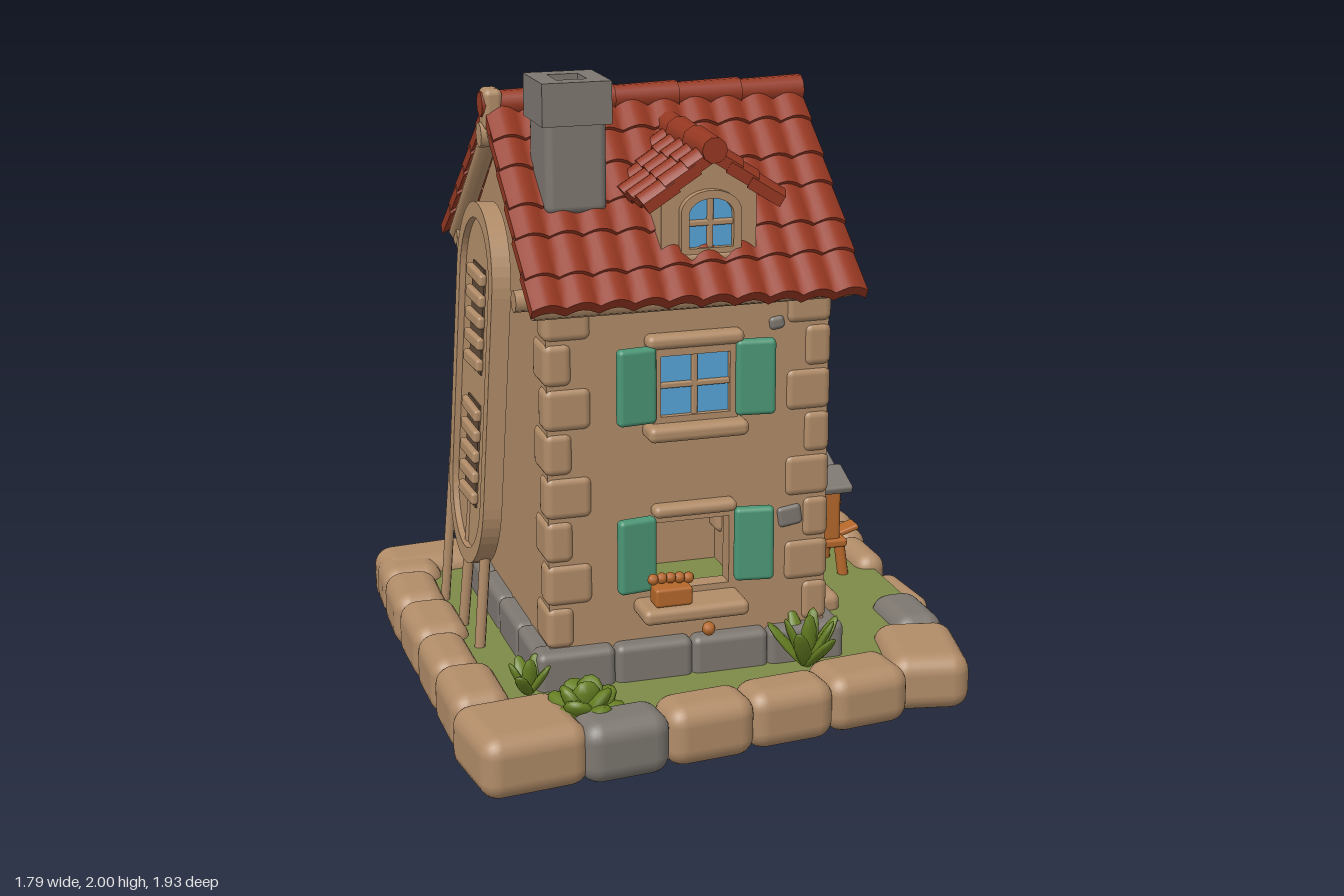
import * as THREE from 'three';
import { RoundedBoxGeometry } from 'three/addons/geometries/RoundedBoxGeometry.js';

const mat = (name, color, side = THREE.FrontSide) => {
  const m = new THREE.MeshStandardMaterial({ color, side });
  m.name = name;
  return m;
};

export function createModel() {
  const tan = mat('sandstone', 0xb18c68), grey = mat('grey stone', 0x7d7770), red = mat('roof tile', 0x963822);
  const green = mat('painted wood', 0x4b9675), blue = mat('glass and cloth', 0x58a5d8, THREE.DoubleSide);
  const grass = mat('grass', 0x7d8a47), leaf = mat('leaf', 0x667f22), orange = mat('orange wood', 0xb4672a);
  const dark = mat('dark wood', 0x5f4a38);
  const root = new THREE.Group();

  // helpers
  const add = (p, name, geo, m, x = 0, y = 0, z = 0, rx = 0, ry = 0, rz = 0) => {
    const o = new THREE.Mesh(geo, m);
    o.name = name; o.position.set(x, y, z); o.rotation.set(rx, ry, rz);
    p.add(o);
    return o;
  };
  const group = (p, name, x = 0, y = 0, z = 0, ry = 0) => {
    const g = new THREE.Group();
    g.name = name; g.position.set(x, y, z); g.rotation.y = ry;
    p.add(g);
    return g;
  };
  const rbox = (w, h, d, r = 0.02) => new RoundedBoxGeometry(w, h, d, 3, Math.min(r, w / 2.1, h / 2.1, d / 2.1));
  const poly = pts => new THREE.Shape(pts.map(([x, y]) => new THREE.Vector2(x, y)));
  const extrude = (shape, depth) => new THREE.ExtrudeGeometry(shape, { depth, bevelEnabled: false, curveSegments: 12 });
  const rod = (p, name, m, a, b, r, r2 = r) => {
    const A = new THREE.Vector3(...a), d = new THREE.Vector3(...b).sub(A);
    const o = add(p, name, new THREE.CylinderGeometry(r2, r, d.length(), 8), m);
    o.position.copy(A).addScaledVector(d, 0.5);
    o.quaternion.setFromUnitVectors(new THREE.Vector3(0, 1, 0), d.normalize());
    return o;
  };
  const wobble = i => Math.sin(i * 12.9898 + 1.7);

  // ground and the ring of border stones: [x0, x1, z0, z1, turn, grey?]
  const lawn = extrude(poly([[-0.78, -0.72], [0.8, -0.84], [0.8, 0.1], [0.7, 0.66], [-0.78, 0.84]]), 0.13);
  add(root, 'lawn', lawn, grass, 0, 0.145, 0, Math.PI / 2);
  const stones = [
    [-0.86, -0.5, -0.8, -0.58, 0.1], [-0.52, -0.23, -0.84, -0.68, 0.08], [-0.24, 0.02, -0.87, -0.7, 0.06],
    [0, 0.35, -0.91, -0.72, 0.08], [0.34, 0.67, -0.95, -0.75, 0.1, 1], [0.66, 0.89, -0.96, -0.57, 0.1],
    [0.75, 0.88, -0.59, -0.4, 0], [0.74, 0.85, -0.41, -0.15, 0], [0.65, 0.82, 0.15, 0.43, 0, 1],
    [0.53, 0.79, 0.41, 0.76, -0.2], [0.25, 0.53, 0.6, 0.82, 0.12], [-0.02, 0.27, 0.68, 0.86, 0.1],
    [-0.29, 0, 0.72, 0.9, 0.1], [-0.56, -0.28, 0.76, 0.94, 0.1, 1], [-0.88, -0.54, 0.62, 0.95, 0.12],
    [-0.88, -0.69, 0.32, 0.63, 0], [-0.88, -0.72, 0.05, 0.34, 0], [-0.88, -0.69, -0.25, 0.06, 0],
    [-0.88, -0.7, -0.53, -0.24, -0.04], [-0.87, -0.66, -0.72, -0.5, -0.05]];
  stones.forEach(([x0, x1, z0, z1, turn, g], i) => add(root, 'borderStone', rbox(x1 - x0, 0.19 + 0.008 * wobble(i), z1 - z0, 0.06),
    g ? grey : tan, (x0 + x1) / 2, 0.098, (z0 + z1) / 2, 0, turn));
  add(root, 'pathStone', rbox(0.38, 0.12, 0.29, 0.04), tan, 0.7, 0.065, -0.01, 0, 0.06);
  add(root, 'doorStep', rbox(0.13, 0.08, 0.3, 0.03), tan, 0.48, 0.165, 0.02, 0.03, 0.04);

  // hollow walls: front and back have an open lower window
  for (const z of [-0.49, 0.43]) {
    const s = poly([[-0.54, 0.12], [0.36, 0.12], [0.36, 1.4], [-0.54, 1.4]]);
    s.holes.push(poly([[-0.2, 0.42], [-0.2, 0.64], [0.04, 0.64], [0.04, 0.42]]));
    add(root, 'longWall', extrude(s, 0.06), tan, 0, 0, z);
  }
  const gable = extrude(poly([[-0.49, 0.12], [0.49, 0.12], [0.49, 1.4], [0, 1.82], [-0.49, 1.4]]), 0.06);
  for (const x of [-0.54, 0.3]) add(root, 'gableWall', gable, tan, x, 0, 0, 0, Math.PI / 2);

  // corner stones and grey footing
  for (const x of [-0.55, 0.37]) for (const z of [-0.5, 0.5]) for (let i = 0; i < 8; i++) {
    const a = i % 2 ? 0.15 : 0.09, b = i % 2 ? 0.09 : 0.15;
    add(root, 'cornerStone', rbox(a, 0.137, b, 0.025), tan, x - Math.sign(x) * a / 2, 0.33 + i * 0.14, z - Math.sign(z) * b / 2);
  }
  for (const z of [-0.49, 0.49]) for (let i = 0; i < 4; i++)
    add(root, 'footing', rbox(0.25, 0.16 + 0.01 * wobble(i), 0.1, 0.025), grey, -0.465 + i * 0.25, 0.18, z);
  for (let i = 0; i < 4; i++) add(root, 'footing', rbox(0.1, 0.16, 0.26, 0.025), grey, -0.54, 0.18, -0.38 + i * 0.253);
  for (const z of [-0.35, 0.36]) add(root, 'footing', rbox(0.11, 0.16, 0.36, 0.025), grey, 0.36, 0.18, z);

  // windows with 2 x 2 panes; arched ones get a round head
  const outline = (w, h, arched) => {
    const s = new THREE.Shape();
    s.moveTo(-w / 2, -h / 2); s.lineTo(w / 2, -h / 2);
    const top = arched ? h / 2 - w * 0.35 : h / 2;
    s.lineTo(w / 2, top);
    if (arched) s.absellipse(0, top, w / 2, w * 0.35, 0, Math.PI, false);
    s.lineTo(-w / 2, top); s.lineTo(-w / 2, -h / 2);
    return s;
  };
  const makeWindow = (p, x, y, z, w, h, arched, t = 0.025) => {
    const g = group(p, 'window', x, y, z);
    const frame = outline(w, h, arched);
    frame.holes.push(outline(w - 2 * t, h - 2 * t, arched));
    add(g, 'windowFrame', extrude(frame, 0.03), tan);
    add(g, 'glass', extrude(outline(w - t, h - t, arched), 0.006), blue, 0, 0, 0.004);
    add(g, 'mullion', rbox(0.018, h - t, 0.02, 0.005), tan, 0, 0, 0.012);
    add(g, 'transom', rbox(w - t, 0.018, 0.02, 0.005), tan, 0, 0, 0.012);
  };

  // window sets, the same on the front and back
  for (const s of [1, -1]) {
    const f = group(root, 'facade', -0.08, 0, s * 0.49, s > 0 ? 0 : Math.PI);
    makeWindow(f, 0, 1.085, 0, 0.27, 0.24, false);
    add(f, 'upperLintel', rbox(0.31, 0.045, 0.06), tan, 0, 1.225, 0.015);
    add(f, 'upperSill', rbox(0.32, 0.05, 0.1), tan, 0, 0.945, 0.03);
    add(f, 'lowerLintel', rbox(0.27, 0.04, 0.06), tan, 0, 0.685, 0.015);
    add(f, 'lowerSill', rbox(0.34, 0.05, 0.15), tan, -0.02, 0.375, 0.05);
    for (const x of [-0.19, 0.19]) {
      add(f, 'upperShutter', rbox(0.125, 0.24, 0.04, 0.015), green, x, 1.095, 0.035, 0, -Math.sign(x) * 0.12);
      add(f, 'lowerShutter', rbox(0.125, 0.24, 0.04, 0.015), green, x, 0.555, 0.035, 0, -Math.sign(x) * 0.15);
    }
  }
  // flower box on the front sill
  add(root, 'flowerBox', rbox(0.12, 0.06, 0.07, 0.01), orange, -0.17, 0.43, 0.56);
  for (let i = 0; i < 5; i++)
    add(root, 'flower', new THREE.SphereGeometry(0.018, 8, 6), orange, -0.23 + i * 0.03, 0.475 + 0.01 * wobble(i), 0.56 + 0.015 * wobble(i + 3));
  add(root, 'wallFlower', new THREE.SphereGeometry(0.022, 8, 6), orange, -0.04, 0.29, 0.535);

  // door side
  const d = group(root, 'doorSide', 0.36, 0, 0, Math.PI / 2);
  for (let i = 0; i < 4; i++) {
    add(d, 'doorPlank', rbox(0.0725, 0.47, 0.03, 0.006), green, -0.134 + i * 0.0725, 0.435, 0.008);
    add(d, 'hatchPlank', rbox(0.07, 0.31, 0.03, 0.006), green, -0.105 + i * 0.07, 1.07, 0.008);
  }
  add(d, 'doorKnob', new THREE.SphereGeometry(0.024, 12, 8), orange, 0.035, 0.42, 0.04);
  [[-0.04, 0.7, 0.37], [0, 1.245, 0.35], [0, 0.895, 0.34]].forEach(([x, y, w]) =>
    add(d, 'doorSideLedge', rbox(w, 0.05, 0.07), tan, x, y, 0.015));
  makeWindow(d, 0.01, 1.515, 0, 0.18, 0.19, true);

  // exposed stones in the plaster
  const patch = (p, x, y, z, r) => add(p, 'exposedStone', rbox(r * 2, r * 1.7, 0.03, 0.015), grey, x, y, z, 0, 0, 0.15);
  patch(d, 0.3, 1.13, 0, 0.05); patch(d, 0.3, 0.58, 0, 0.05); patch(d, -0.21, 1.32, 0, 0.035);
  patch(root, 0.24, 0.62, 0.485, 0.04); patch(root, 0.19, 1.25, 0.485, 0.025);

  // tiled roof: overlapping corrugated rows on two slopes, ridge along local x
  const tiledRoof = (p, name, w, len, rows, cols, angle) => {
    const g = group(p, name);
    for (const side of [0, Math.PI]) {
      const slope = group(group(g, 'roofSide', 0, 0, 0, side), 'slope');
      slope.rotation.x = angle;
      for (let r = 0; r < rows; r++) {
        const geo = new THREE.BoxGeometry(w, 0.035, len / rows + 0.03, cols * 6, 1, 2), v = geo.attributes.position;
        for (let i = 0; i < v.count; i++) {
          const c = (v.getX(i) / w + 0.5) * cols, n = Math.min(cols - 1, Math.floor(c + 1e-4));
          v.setY(i, v.getY(i) + 0.022 * Math.abs(Math.sin(c * Math.PI)) - 0.012);
          if (v.getZ(i) > 0.01) v.setZ(i, v.getZ(i) + 0.01 * wobble(n + r * 7));
        }
        geo.computeVertexNormals();
        add(slope, 'tileRow', geo, red, 0.006 * wobble(r + side), 0, (r + 0.5) * len / rows, -0.08);
      }
    }
    for (let i = 0; i < cols / 2; i++)
      add(g, 'ridgeTile', new THREE.CylinderGeometry(0.04, 0.047, w * 2 / cols + 0.01, 10), red,
        -w / 2 + (i + 0.5) * w * 2 / cols, 0, 0, 0, 0, Math.PI / 2);
    return g;
  };
  tiledRoof(root, 'mainRoof', 1.04, 0.8, 6, 10, 0.69).position.set(-0.09, 1.885, 0);

  // timber under the roof edges
  for (const s of [-1, 1]) {
    for (const x of [-0.57, 0.39]) {
      rod(root, 'gableBeam', tan, [x, 1.83, 0], [x, 1.36, s * 0.57], 0.032);
      rod(root, 'purlin', tan, [x - 0.04, 1.35, s * 0.38], [x + 0.04, 1.35, s * 0.38], 0.035);
    }
    rod(root, 'eaveBeam', tan, [-0.59, 1.36, s * 0.53], [0.41, 1.36, s * 0.53], 0.035);
  }
  rod(root, 'ridgeBeam', tan, [-0.62, 1.79, 0], [0.43, 1.79, 0], 0.04);
  add(root, 'ridgeEnd', rbox(0.06, 0.13, 0.09), tan, -0.58, 1.87, 0);

  // dormers
  for (const [s, x] of [[1, -0.03], [-1, -0.13]]) {
    const g = group(root, 'dormer', x, 0, 0, s > 0 ? 0 : Math.PI);
    add(g, 'dormerWall', extrude(poly([[-0.15, 1.47], [0.15, 1.47], [0.15, 1.66], [0, 1.78], [-0.15, 1.66]]), 0.34), tan, 0, 0, 0.15);
    makeWindow(g, 0, 1.58, 0.485, 0.19, 0.2, true);
    add(g, 'dormerSill', rbox(0.2, 0.035, 0.06), tan, 0, 1.475, 0.49);
    const r = tiledRoof(g, 'dormerRoof', 0.42, 0.25, 3, 5, 0.64);
    r.position.set(0, 1.805, 0.33);
    r.rotation.y = Math.PI / 2;
  }

  // chimney, open at the top
  const ring = (w, dp, t) => {
    const s = outline(w, dp, false);
    s.holes.push(outline(w - 2 * t, dp - 2 * t, false));
    return s;
  };
  add(root, 'chimneyStack', rbox(0.19, 0.32, 0.21, 0.025), grey, -0.405, 1.76, 0.265);
  add(root, 'chimneyCap', extrude(ring(0.215, 0.23, 0.06), 0.13), grey, -0.405, 2.0, 0.265, Math.PI / 2);
  add(root, 'flue', new THREE.BoxGeometry(0.1, 0.008, 0.11), dark, -0.405, 1.924, 0.265);

  // boat-shaped panel and poles leaning on the left wall
  const boat = group(root, 'leaningBoat', -0.63, 0.98, -0.03, -Math.PI / 2);
  boat.rotation.order = 'YXZ';
  boat.rotation.x = -0.06;
  const capsule = (r, half) => {
    const s = new THREE.Shape();
    s.absarc(0, half, r, 0, Math.PI, false);
    s.absarc(0, -half, r, Math.PI, Math.PI * 2, false);
    return s;
  };
  const rim = capsule(0.25, 0.34);
  rim.holes.push(capsule(0.2, 0.34));
  add(boat, 'boatRim', extrude(rim, 0.06), tan, 0, 0, -0.03);
  add(boat, 'boatFloor', extrude(capsule(0.22, 0.34), 0.03), tan, 0, 0, -0.02);
  for (const y of [-0.22, 0.22]) {
    add(boat, 'boatOpening', new THREE.BoxGeometry(0.16, 0.34, 0.008), dark, 0, y, 0.012);
    for (let i = 0; i < 5; i++) add(boat, 'slat', rbox(0.19, 0.04, 0.025, 0.01), tan, 0, y - 0.14 + i * 0.07, 0.022, 0, 0, 0.05 * wobble(i));
  }
  rod(root, 'pole', tan, [-0.7, 0.14, -0.32], [-0.62, 1.15, -0.3], 0.016);
  rod(root, 'pole', tan, [-0.69, 0.14, -0.08], [-0.65, 0.6, -0.06], 0.018);
  rod(root, 'pole', tan, [-0.68, 0.14, 0.12], [-0.64, 0.6, 0.1], 0.018);

  // beehives
  for (const [x, z] of [[0.58, -0.235], [0.61, -0.485]]) {
    const h = group(root, 'beehive', x, 0, z);
    add(h, 'hiveBox', rbox(0.18, 0.2, 0.17, 0.015), orange, 0, 0.36, 0);
    add(h, 'hiveBase', rbox(0.22, 0.03, 0.2, 0.01), orange, 0, 0.26, 0);
    for (const a of [-1, 1]) {
      for (const b of [-1, 1]) rod(h, 'hiveLeg', orange, [a * 0.1, 0.13, b * 0.09], [a * 0.085, 0.27, b * 0.075], 0.02);
      add(h, 'hiveRoof', rbox(0.24, 0.03, 0.135, 0.01), grey, 0, 0.482, a * 0.054, a * 0.35);
    }
    add(h, 'hiveGable', extrude(poly([[-0.08, 0.45], [0.08, 0.45], [0, 0.485]]), 0.18), orange, -0.09, 0, 0, 0, Math.PI / 2);
    add(h, 'landingBoard', rbox(0.1, 0.02, 0.07, 0.008), orange, 0.13, 0.275, 0, 0, 0, 0.3);
    add(h, 'hiveEntrance', new THREE.BoxGeometry(0.006, 0.03, 0.05), dark, 0.091, 0.31, 0);
    add(h, 'hiveLedge', rbox(0.03, 0.02, 0.07, 0.006), orange, 0.095, 0.39, 0);
  }

  // washing line behind the house
  [[0.57, 0.57], [0.15, 0.5], [0, 0.42], [-0.24, 0.57]].forEach(([x, top], i) =>
    rod(root, 'linePost', tan, [x, 0.1, -0.68], [x + 0.02 * wobble(i), top, -0.67], 0.025, 0.02));
  rod(root, 'postBrace', orange, [0.57, 0.54, -0.68], [0.54, 0.54, -0.52], 0.014);
  const line = new THREE.CatmullRomCurve3([[-0.3, 0.52], [-0.05, 0.47], [0.15, 0.47], [0.36, 0.48], [0.6, 0.53]].map(([x, y]) => new THREE.Vector3(x, y, -0.675)));
  add(root, 'washingLine', new THREE.TubeGeometry(line, 20, 0.009, 6), tan);
  [[0.42, 0.44, 0.24, 0.11], [0.22, 0.43, 0.09, 0.09], [-0.06, 0.45, 0.07, 0.1]].forEach(([x, y, w, h], i) => {
    const geo = new THREE.PlaneGeometry(w, h, 8, 2), v = geo.attributes.position;
    for (let k = 0; k < v.count; k++) v.setZ(k, 0.012 * Math.sin(v.getX(k) * 50));
    geo.computeVertexNormals();
    add(root, 'laundry', geo, i === 1 ? tan : blue, x, y, -0.69, 0.1);
  });

  // plants: a fan of pointed leaves, lower and rounder for bushes
  const plant = (x, z, r, h, n, spread) => {
    const g = group(root, 'plant', x, 0.14, z);
    for (let i = 0; i < n; i++) {
      const l = group(g, 'leafTurn', 0, 0, 0, i * 2.4);
      const tilt = spread * Math.sqrt((i + 0.3) / n);
      const blade = add(l, 'leaf', new THREE.SphereGeometry(1, 8, 6), leaf, 0, Math.cos(tilt) * h / 2, Math.sin(tilt) * h / 2, tilt);
      blade.scale.set(r, h / 2, r * 0.5);
    }
  };
  plant(-0.5, 0.74, 0.05, 0.13, 12, 1.3);
  plant(0.27, 0.58, 0.028, 0.19, 9, 0.8);
  plant(-0.62, 0.53, 0.025, 0.13, 6, 0.8);
  plant(0.66, -0.69, 0.025, 0.14, 7, 0.8);
  plant(0.45, -0.66, 0.02, 0.1, 5, 0.8);
  return root;
}
